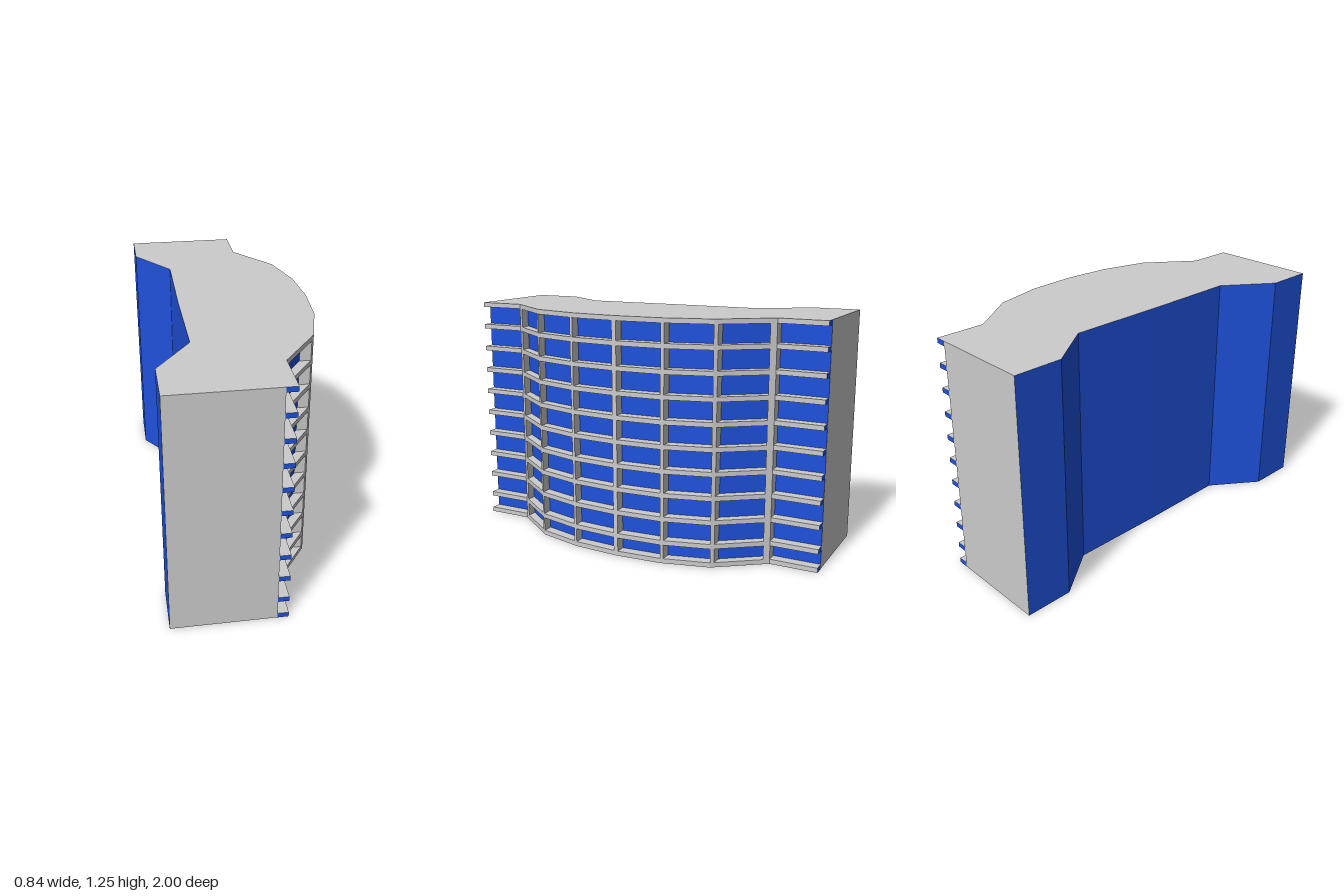
import * as THREE from 'three';

const H = 1.25, DEPTH = 0.055, SLAB = 0.025;

// Facade line as [x, z], from the +z end to the -z end
const FACADE = [[0.155, 1], [0.155, 0.75], [0.338, 0.5], [0.402, 0.25], [0.418, 0],
  [0.402, -0.25], [0.338, -0.5], [0.155, -0.75], [0.155, -1]];
const REAR = [[-0.42, -1], [-0.42, -0.75], [-0.243, -0.5], [-0.248, 0],
  [-0.243, 0.5], [-0.42, 0.75], [-0.42, 1]];

const inset = (pts) => pts.map(([x, z]) => [x - DEPTH, z]);

// Facade x at a given z
function facadeX(z) {
  for (let i = 0; i < FACADE.length - 1; i++) {
    const [xa, za] = FACADE[i], [xb, zb] = FACADE[i + 1];
    if (z <= za && z >= zb) return xa + (xb - xa) * (za - z) / (za - zb);
  }
  return FACADE[0][0];
}

const planShape = (pts) => new THREE.Shape(pts.map(([x, z]) => new THREE.Vector2(x, -z)));

// Upright prism over a plan outline
function prism(pts, y, height) {
  return new THREE.ExtrudeGeometry(planShape(pts), { depth: height, bevelEnabled: false })
    .rotateX(-Math.PI / 2).translate(0, y, 0);
}

// Vertical wall along a plan line
function wall(pts, y = 0, height = H) {
  const pos = [];
  for (let i = 0; i < pts.length - 1; i++) {
    const [ax, az] = pts[i], [bx, bz] = pts[i + 1], t = y + height;
    pos.push(ax, y, az, bx, y, bz, bx, t, bz, ax, y, az, bx, t, bz, ax, t, az);
  }
  const g = new THREE.BufferGeometry();
  g.setAttribute('position', new THREE.Float32BufferAttribute(pos, 3));
  g.computeVertexNormals();
  return g;
}

export function createModel() {
  const concrete = new THREE.MeshStandardMaterial({ color: 0xcccccc });
  const glass = new THREE.MeshStandardMaterial({ color: 0x1f52dc });
  const root = new THREE.Group();
  root.name = 'curvedBuilding';
  const add = (name, geometry, material) => {
    const m = new THREE.Mesh(geometry, material);
    m.name = name;
    root.add(m);
  };

  // Main block: glazed front and rear, solid ends, roof and base
  const inner = inset(FACADE), body = [...inner, ...REAR];
  add('frontGlazing', wall(inner), glass);
  add('rearGlazing', wall(REAR), glass);
  add('backEndWall', wall([inner[inner.length - 1], REAR[0]]), concrete);
  add('frontEndWall', wall([REAR[REAR.length - 1], inner[0]]), concrete);
  add('roof', new THREE.ShapeGeometry(planShape(body)).rotateX(-Math.PI / 2).translate(0, H, 0), concrete);
  add('base', new THREE.ShapeGeometry(planShape(body)).rotateX(Math.PI / 2), concrete);

  // Floor slabs projecting in front of the glazing, with blue end faces
  const strip = [...FACADE, ...inset(FACADE).reverse()];
  for (let i = 0; i <= 10; i++) {
    const y = i === 0 ? 0 : i === 10 ? H - SLAB : 0.098 + (i - 1) * 0.1255;
    add('floorSlab', prism(strip, y, SLAB), concrete);
    add('slabEnd', wall([[0.1, 1.0005], [0.155, 1.0005]], y, SLAB), glass);
    add('slabEnd', wall([[0.155, -1.0005], [0.1, -1.0005]], y, SLAB), glass);
  }

  // Vertical fins at each bend of the facade
  const fins = [[0.75, 0.722], [0.517, 0.5], [0.267, 0.25], [0.012, -0.012],
    [-0.25, -0.267], [-0.5, -0.517], [-0.722, -0.75]];
  for (const [za, zb] of fins) {
    const edge = [[facadeX(za), za], [facadeX(zb), zb]];
    if (za > 0 && zb < 0) edge.splice(1, 0, [facadeX(0), 0]);
    add('fin', prism([...edge, ...inset(edge).reverse()], 0.005, H - 0.01), concrete);
  }
  return root;
}
